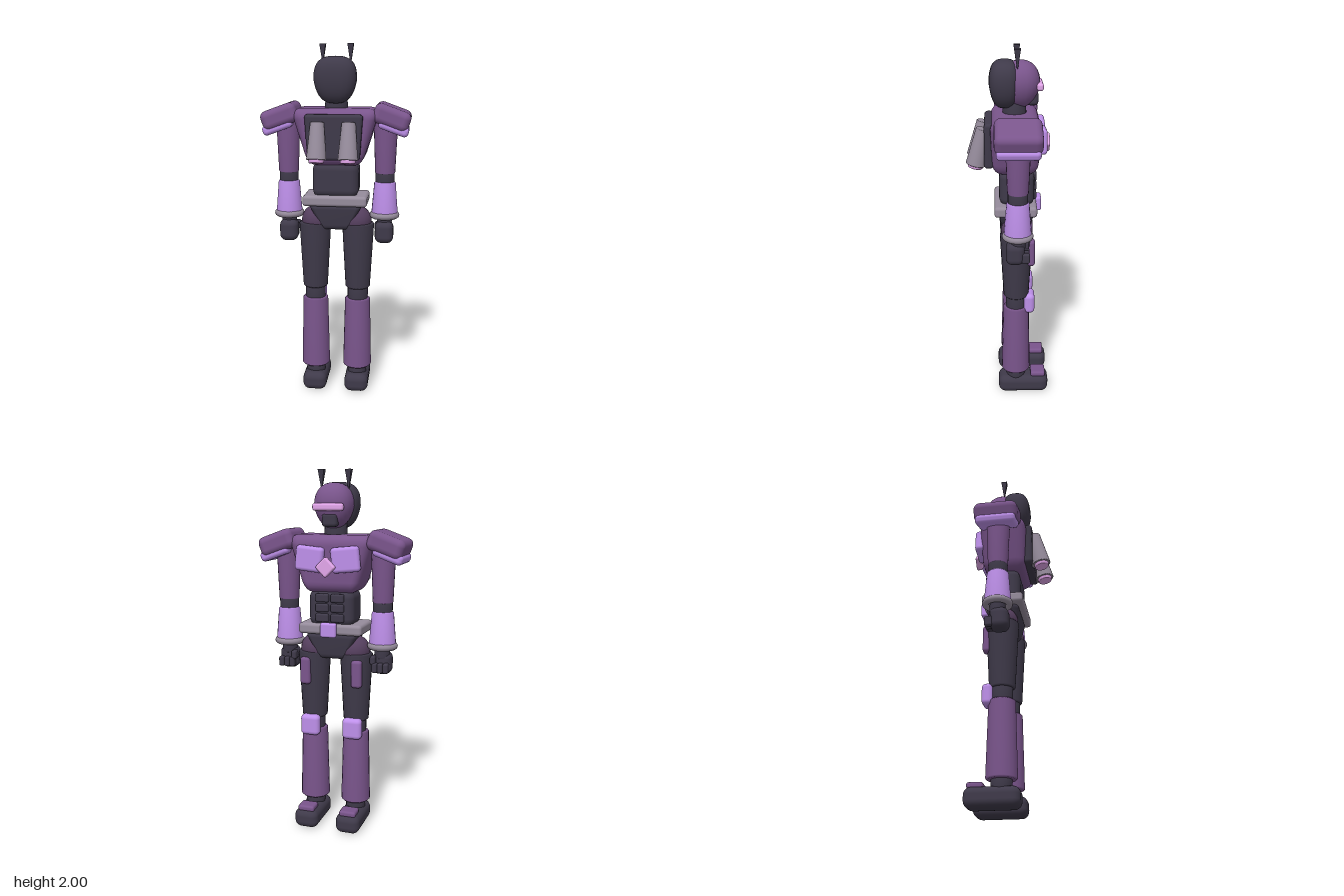
import * as THREE from 'three';
import { mergeVertices } from 'three/addons/utils/BufferGeometryUtils.js';
import { RoundedBoxGeometry } from 'three/addons/geometries/RoundedBoxGeometry.js';

const mat = (color) => new THREE.MeshStandardMaterial({ color });
const PURPLE = mat(0x7a558c), LILAC = mat(0xbe90ea), DARK = mat(0x3f3a4a);
const GREY = mat(0x968c9c), PINK = mat(0xe2a6ea), PLUM = mat(0x553f5e);

function add(parent, name, geometry, material, x, y, z) {
  const mesh = new THREE.Mesh(geometry, material);
  mesh.name = name;
  mesh.position.set(x, y, z);
  parent.add(mesh);
  return mesh;
}

// Rebuild smooth normals after moving vertices
function smooth(geometry) {
  geometry.deleteAttribute('normal');
  geometry.deleteAttribute('uv');
  const merged = mergeVertices(geometry, 1e-5);
  merged.computeVertexNormals();
  return merged;
}

const box = (w, h, d, r = 0.02) => new RoundedBoxGeometry(w, h, d, 3, r);

// Rounded box narrowing towards its bottom
function taperedBox(w, h, d, r, bottomX, bottomZ) {
  const g = box(w, h, d, r), p = g.attributes.position;
  for (let i = 0; i < p.count; i++) {
    const t = 0.5 - p.getY(i) / h;
    p.setX(i, p.getX(i) * (1 + (bottomX - 1) * t));
    p.setZ(i, p.getZ(i) * (1 + (bottomZ - 1) * t));
  }
  return smooth(g);
}

// Limb segment with small bevels at both ends
function limb(rTop, rBottom, h, bevel = 0.008) {
  const k = h / 2;
  return new THREE.LatheGeometry([
    [0, -k], [rBottom - bevel, -k], [rBottom, -k + bevel],
    [rTop, k - bevel], [rTop - bevel, k], [0, k],
  ].map(([x, y]) => new THREE.Vector2(x, y)), 20);
}

// Ellipsoid squared off by the exponent e (1 is round), narrowed at the chin
function shell(rx, ry, rz, e, chin) {
  const g = new THREE.SphereGeometry(1, 24, 16), p = g.attributes.position;
  const f = (v) => Math.sign(v) * Math.pow(Math.abs(v) < 1e-6 ? 0 : Math.abs(v), e);
  for (let i = 0; i < p.count; i++) {
    const y = f(p.getY(i)), s = 1 - chin * Math.max(0, -y);
    p.setXYZ(i, f(p.getX(i)) * rx * s, y * ry, f(p.getZ(i)) * rz * s);
  }
  return smooth(g);
}

function buildHead() {
  const head = new THREE.Group();
  head.name = 'head';
  add(head, 'helmetBack', shell(0.117, 0.125, 0.083, 0.72, 0.2), DARK, 0, 1.81, 0.022);
  add(head, 'facePlate', shell(0.106, 0.122, 0.105, 0.88, 0.2), PURPLE, 0, 1.81, -0.06);
  add(head, 'visor', box(0.17, 0.04, 0.035, 0.014), PINK, 0, 1.805, -0.162);
  add(head, 'mouthGuard', box(0.085, 0.075, 0.06, 0.02), DARK, 0, 1.738, -0.125);
  add(head, 'neck', limb(0.06, 0.065, 0.1), DARK, 0, 1.68, -0.03);
  for (const s of [-1, 1]) {
    const g = new THREE.CylinderGeometry(0.024, 0.004, 0.1, 4, 1).rotateY(Math.PI / 4).toNonIndexed();
    g.computeVertexNormals();
    add(head, 'antenna', g, DARK, s * 0.076, 1.95, -0.043);
  }
  return head;
}

function buildTorso() {
  const torso = new THREE.Group();
  torso.name = 'torso';
  add(torso, 'chest', taperedBox(0.49, 0.31, 0.268, 0.06, 0.6, 0.9), PURPLE, 0, 1.505, -0.033);
  add(torso, 'abdomen', box(0.255, 0.2, 0.19, 0.045), DARK, 0, 1.265, -0.042);
  for (let row = 0; row < 3; row++)
    for (const s of [-1, 1])
      add(torso, 'abdominalPlate', box(0.075, 0.046, 0.03, 0.01), DARK, s * 0.043, 1.215 + row * 0.054, -0.135);
  add(torso, 'belt', box(0.36, 0.06, 0.23, 0.018), GREY, 0, 1.152, -0.036);
  add(torso, 'buckle', box(0.09, 0.08, 0.035, 0.012), LILAC, 0, 1.152, -0.162);
  add(torso, 'pelvis', taperedBox(0.31, 0.15, 0.19, 0.03, 0.46, 0.75), DARK, 0, 1.055, -0.04);
  const gem = add(torso, 'chestGem', box(0.08, 0.08, 0.035, 0.01), PINK, 0, 1.495, -0.203);
  gem.rotation.z = Math.PI / 4;
  for (const s of [-1, 1]) {
    const panel = add(torso, 'chestPanel', box(0.155, 0.135, 0.05, 0.02), LILAC, s * 0.1, 1.535, -0.173);
    panel.rotation.z = s * 0.1;
  }
  // Back unit with two tilted thrusters
  add(torso, 'backpack', taperedBox(0.315, 0.245, 0.05, 0.018, 0.9, 1), DARK, 0, 1.51, 0.106);
  for (const s of [-1, 1]) {
    const thruster = new THREE.Group();
    thruster.name = 'thruster';
    thruster.position.set(s * 0.084, 1.495, 0.156);
    thruster.rotation.x = -0.21;
    add(thruster, 'nozzle', limb(0.037, 0.054, 0.2, 0.003), GREY, 0, 0, 0);
    add(thruster, 'exhaust', limb(0.043, 0.04, 0.025, 0.003), PINK, 0, -0.105, 0);
    torso.add(thruster);
  }
  return torso;
}

function buildArm(s) {
  const arm = new THREE.Group(), x = s * 0.272, z = -0.043;
  arm.name = s > 0 ? 'leftArm' : 'rightArm';
  add(arm, 'shoulderArmour', box(0.205, 0.11, 0.245, 0.036), PURPLE, s * 0.306, 1.612, z).rotation.z = -s * 0.35;
  add(arm, 'shoulderTrim', box(0.17, 0.055, 0.225, 0.022), LILAC, s * 0.318, 1.558, z).rotation.z = -s * 0.35;
  add(arm, 'upperArm', limb(0.068, 0.056, 0.32), PURPLE, x, 1.455, z);
  add(arm, 'elbow', limb(0.053, 0.053, 0.08), DARK, x, 1.27, z);
  add(arm, 'forearm', limb(0.06, 0.074, 0.185), LILAC, x, 1.16, z);
  add(arm, 'wristRing', new THREE.TorusGeometry(0.064, 0.02, 10, 28).rotateX(Math.PI / 2), GREY, x, 1.062, z);
  add(arm, 'wrist', limb(0.042, 0.042, 0.09), DARK, x, 1.035, z);
  add(arm, 'palm', box(0.104, 0.125, 0.1, 0.036), DARK, x, 0.965, -0.03);
  for (let i = -1; i <= 1; i++)
    add(arm, 'finger', box(0.03, 0.055, 0.045, 0.01), DARK, x + i * 0.031, 0.945, -0.085);
  add(arm, 'thumb', box(0.03, 0.05, 0.05, 0.012), DARK, x - s * 0.042, 0.985, -0.08);
  return arm;
}

function buildLeg(s) {
  const leg = new THREE.Group(), x = s * 0.123, z = -0.04;
  leg.name = s > 0 ? 'leftLeg' : 'rightLeg';
  add(leg, 'hipJoint', new THREE.SphereGeometry(0.085, 20, 14), PLUM, x - s * 0.008, 1.025, z);
  add(leg, 'thigh', limb(0.091, 0.071, 0.385), DARK, x, 0.822, z);
  add(leg, 'thighPlate', box(0.06, 0.155, 0.045, 0.018), PURPLE, x + s * 0.025, 0.908, -0.12);
  add(leg, 'kneeJoint', limb(0.058, 0.058, 0.1), DARK, x, 0.595, z);
  add(leg, 'kneePad', box(0.11, 0.118, 0.06, 0.024), LILAC, x, 0.592, -0.114);
  add(leg, 'shin', limb(0.073, 0.083, 0.42), PURPLE, x, 0.355, z);
  add(leg, 'ankle', limb(0.055, 0.055, 0.07), DARK, x, 0.122, z);
  add(leg, 'foot', box(0.138, 0.108, 0.29, 0.04), DARK, x, 0.054, -0.084);
  add(leg, 'toePlate', box(0.095, 0.032, 0.085, 0.012), PURPLE, x, 0.115, -0.17);
  return leg;
}

export function createModel() {
  const model = new THREE.Group();
  model.name = 'armouredRobot';
  model.add(buildHead(), buildTorso());
  for (const s of [-1, 1]) model.add(buildArm(s), buildLeg(s));
  return model;
}
